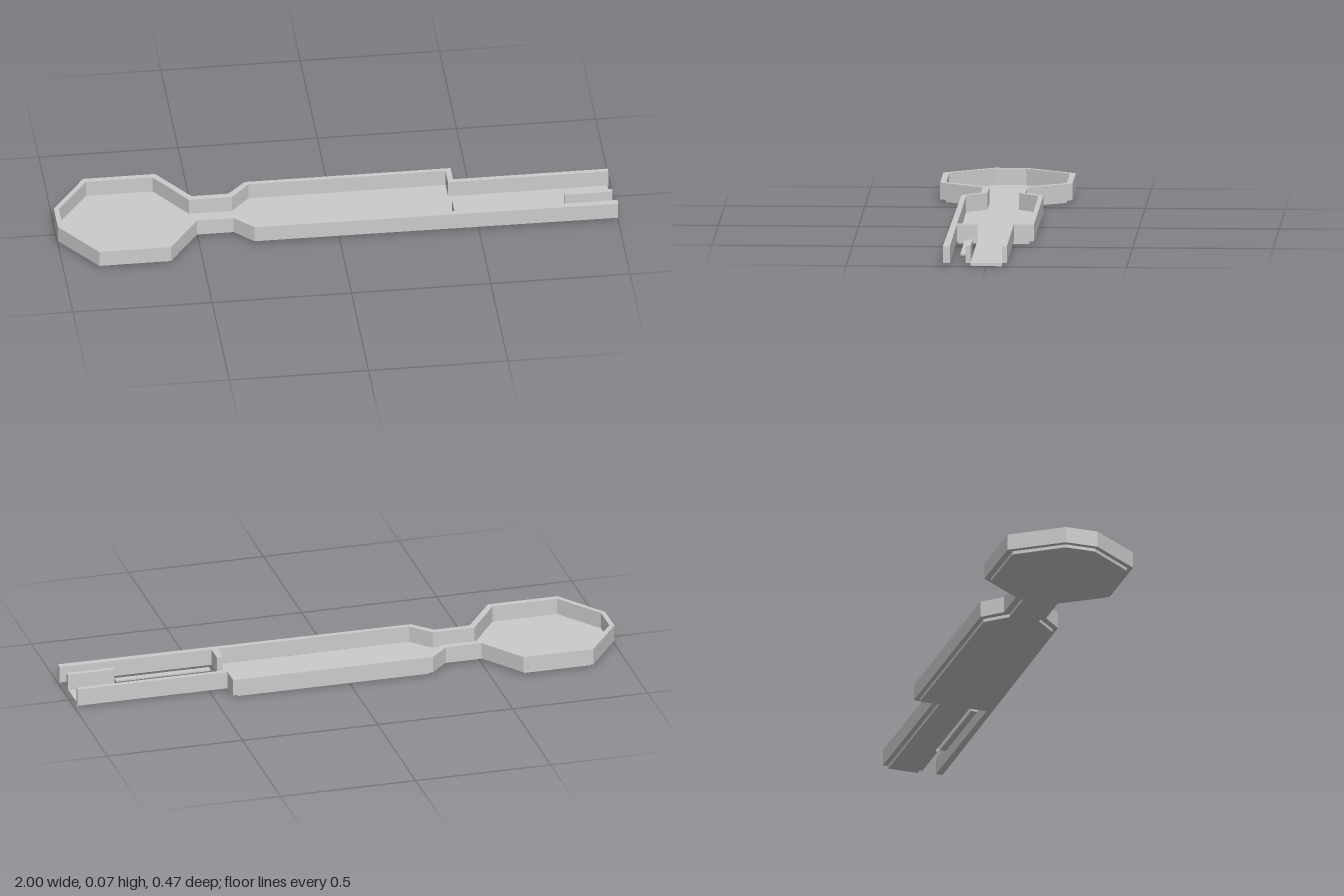
import * as THREE from 'three';

const BASE_TOP = 0.012;
const WALL_TOP = 0.072;
const material = new THREE.MeshStandardMaterial({ color: 0xcccccc, flatShading: true });

// Extrudes a plan outline of [x, z] points from height y0 up to y1.
function slab(name, plan, y0, y1) {
  const shape = new THREE.Shape(plan.map(([x, z]) => new THREE.Vector2(x, -z)));
  const geometry = new THREE.ExtrudeGeometry(shape, { depth: y1 - y0, bevelEnabled: false });
  geometry.rotateX(-Math.PI / 2);
  geometry.translate(0, y0, 0);
  const mesh = new THREE.Mesh(geometry, material);
  mesh.name = name;
  return mesh;
}

const rect = (x0, x1, z0, z1) => [[x0, z0], [x1, z0], [x1, z1], [x0, z1]];
const mirror = (points) => points.map(([x, z]) => [x, -z]);

export function createModel() {
  const model = new THREE.Group();
  model.name = 'openTray';

  // Half outlines of the octagonal head, the neck and the start of the body
  const outer = [[-1, 0.06], [-0.873, 0.236], [-0.615, 0.236], [-0.503, 0.079], [-0.371, 0.079], [-0.305, 0.146]];
  const inner = [[-0.983, 0.055], [-0.866, 0.215], [-0.626, 0.215], [-0.515, 0.056], [-0.361, 0.056], [-0.293, 0.129]];
  const outerBack = mirror(outer);
  const innerBack = mirror(inner);

  // Floor inside the walls, running on into the narrow tail
  model.add(slab('floor', [
    ...innerBack.slice().reverse(),
    ...inner,
    [0.415, 0.129], [0.415, 0.057], [0.987, 0.057],
    [0.987, -0.055], [0.415, -0.055], [0.415, -0.129],
  ], 0, BASE_TOP));

  // One continuous wall: front rail, around the head, along the back to the tail
  model.add(slab('perimeterWall', [
    [1, 0.155],
    ...outer.slice().reverse(),
    ...outerBack,
    [0.435, -0.145], [0.435, -0.073], [0.99, -0.073],
    [0.99, -0.055], [0.415, -0.055], [0.415, -0.129],
    ...innerBack.slice().reverse(),
    ...inner,
    [1, 0.13],
  ], BASE_TOP, WALL_TOP));

  // Cross wall closing the front of the body, and the short rail by the slot
  model.add(slab('crossWall', rect(0.415, 0.438, 0.057, 0.1295), BASE_TOP, WALL_TOP));
  model.add(slab('shortTailRail', rect(0.817, 0.99, 0.057, 0.075), BASE_TOP, WALL_TOP));

  // Loose thin strip lying in the slot
  model.add(slab('slotStrip', rect(0.455, 0.805, 0.079, 0.101), BASE_TOP, 0.018));

  return model;
}
